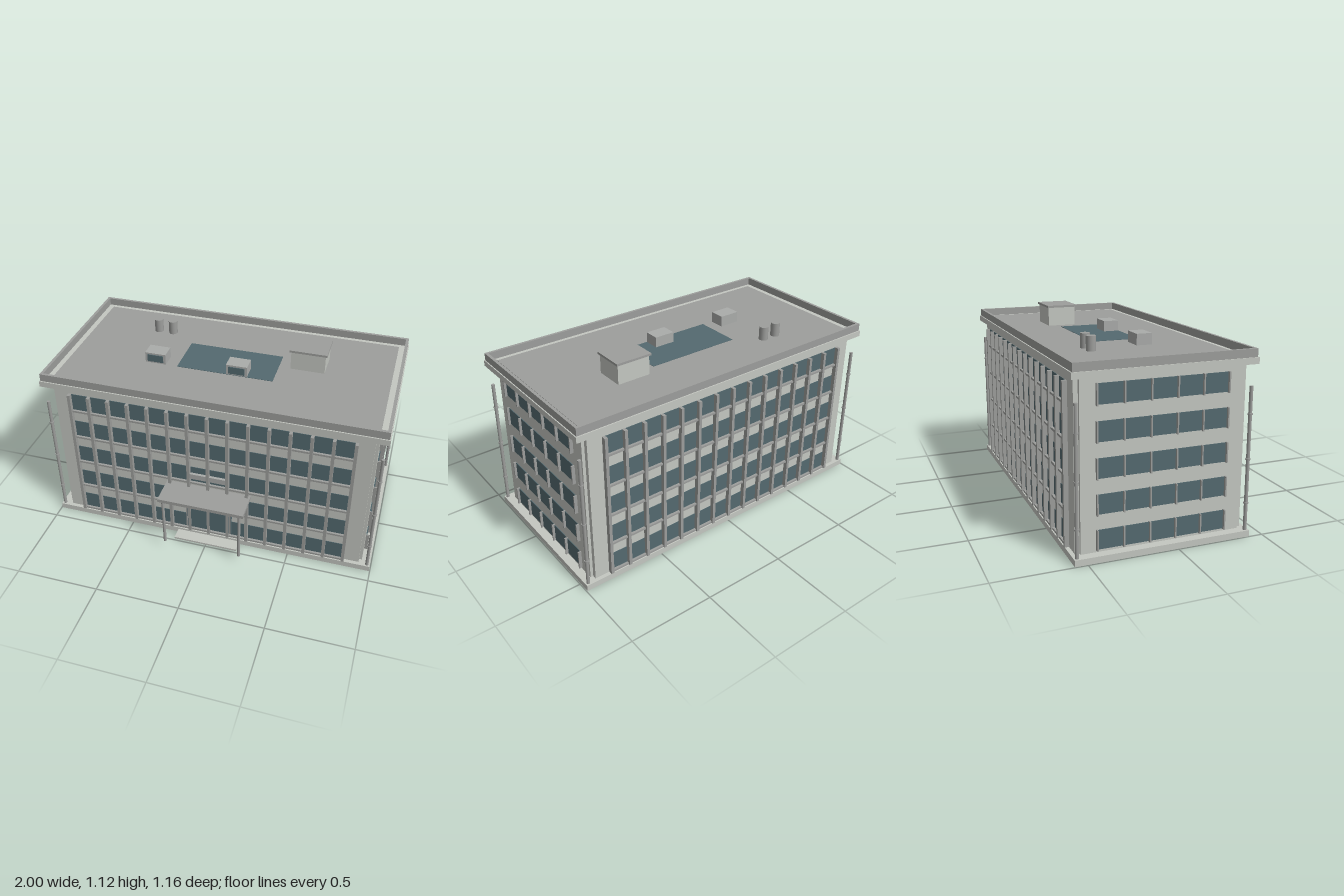
import * as THREE from 'three';

const CZ = -0.073; // z of the building's middle

export function createModel() {
  const root = new THREE.Group();
  root.name = 'officeBlock';

  const mat = (name, color) => {
    const m = new THREE.MeshStandardMaterial({ color });
    m.name = name;
    return m;
  };
  const wall = mat('lightConcrete', 0xc4c7c1);
  const trim = mat('greyTrim', 0x9d9e9c);
  const glass = mat('tealGlass', 0x546a70);
  const metal = mat('unitMetal', 0xaaacaa);

  // Box given by its extents on each axis
  const box = (parent, name, m, x0, x1, y0, y1, z0, z1) => {
    const mesh = new THREE.Mesh(new THREE.BoxGeometry(x1 - x0, y1 - y0, z1 - z0), m);
    mesh.position.set((x0 + x1) / 2, (y0 + y1) / 2, (z0 + z1) / 2);
    mesh.name = name;
    parent.add(mesh);
    return mesh;
  };
  const group = (name, parent = root) => {
    const g = new THREE.Group();
    g.name = name;
    parent.add(g);
    return g;
  };
  const cyl = (parent, name, m, r, y0, y1, x, z, sides = 12) => {
    const mesh = new THREE.Mesh(new THREE.CylinderGeometry(r, r, y1 - y0, sides), m);
    mesh.position.set(x, (y0 + y1) / 2, z);
    mesh.name = name;
    parent.add(mesh);
  };

  // Base, body and cornice; the plan is notched at the corners
  const shell = group('shell');
  shell.position.z = CZ;
  box(shell, 'base', wall, -0.995, 0.995, 0, 0.035, -0.496, 0.496);
  box(shell, 'longWalls', wall, -0.927, 0.927, 0.035, 0.95, -0.473, 0.473);
  box(shell, 'endWalls', wall, -0.944, 0.944, 0.035, 0.95, -0.448, 0.448);
  box(shell, 'cornice', wall, -1, 1, 0.95, 0.985, -0.505, 0.505);
  box(shell, 'roof', trim, -0.943, 0.943, 0.983, 0.988, -0.452, 0.452);

  // Parapet ring
  const rect = (path, x, y) =>
    path.moveTo(-x, -y).lineTo(x, -y).lineTo(x, y).lineTo(-x, y).closePath();
  const ring = rect(new THREE.Shape(), 0.994, 0.498);
  ring.holes.push(rect(new THREE.Path(), 0.977, 0.481));
  const parapet = new THREE.Mesh(
    new THREE.ExtrudeGeometry(ring, { depth: 0.045, bevelEnabled: false }), trim);
  parapet.rotation.x = -Math.PI / 2;
  parapet.position.y = 0.985;
  parapet.name = 'parapet';
  shell.add(parapet);

  // Long facades: five window rows, sills and full-height fins
  const ROWS = 5, PITCH = 0.189, ROW0 = 0.049, ROW_H = 0.106;
  const BAY = 0.1187;
  for (const [name, turn] of [['frontFacade', 0], ['backFacade', Math.PI]]) {
    const f = group(name, shell);
    f.rotation.y = turn;
    for (let r = 0; r < ROWS; r++) {
      const y = ROW0 + r * PITCH;
      box(f, 'windowRow', glass, -0.831, 0.831, y, y + ROW_H, 0.471, 0.476);
      box(f, 'sill', trim, -0.831, 0.831, y - 0.012, y, 0.471, 0.49);
    }
    for (let i = -7; i <= 7; i++) {
      box(f, 'fin', trim, i * BAY - 0.009, i * BAY + 0.009, 0.037, 0.912, 0.471, 0.499);
    }
  }

  // End facades: rows of five panes with short mullions
  for (const s of [1, -1]) {
    const f = group(s > 0 ? 'leftFacade' : 'rightFacade', shell);
    f.rotation.y = s * Math.PI / 2;
    for (let r = 0; r < ROWS; r++) {
      const y = ROW0 + r * PITCH;
      // local x runs along the wall
      box(f, 'windowRow', glass, -0.361, 0.361, y, y + ROW_H, 0.942, 0.948);
      for (let i = 0; i <= 5; i++) {
        const x = -0.361 + i * 0.1444;
        box(f, 'mullion', trim, x - 0.004, x + 0.004, y - 0.003, y + ROW_H + 0.003, 0.942, 0.963);
      }
    }
  }

  // Drainpipes with clips at the four corners
  const pipes = group('drainpipes', shell);
  for (const x of [-0.977, 0.977]) {
    for (const z of [-0.478, 0.478]) {
      cyl(pipes, 'drainpipe', trim, 0.01, 0.035, 0.833, x, z, 10);
      for (const y of [0.19, 0.437, 0.683]) cyl(pipes, 'pipeClip', trim, 0.014, y - 0.004, y + 0.004, x, z, 10);
    }
  }

  // Entrance: glazed doors, canopy on posts, step and panel above
  const entrance = group('entrance');
  box(entrance, 'doorGlass', glass, -0.143, 0.143, 0.068, 0.35, 0.4, 0.419);
  for (const s of [-1, 1]) {
    const c = s * 0.06;
    box(entrance, 'doorLeaf', glass, c - 0.052, c + 0.052, 0.08, 0.335, 0.417, 0.422);
    box(entrance, 'doorJamb', trim, s * 0.137 - 0.004, s * 0.137 + 0.004, 0.068, 0.35, 0.417, 0.422);
    cyl(entrance, 'canopyPost', trim, 0.009, 0.05, 0.375, s * 0.232, 0.564);
  }
  box(entrance, 'canopy', trim, -0.259, 0.259, 0.372, 0.393, 0.4, 0.58);
  box(entrance, 'step', wall, -0.197, 0.197, 0.01, 0.022, 0.42, 0.496);
  box(entrance, 'panel', metal, -0.119, 0.119, 0.455, 0.49, 0.4, 0.42);

  // Rooftop: skylight, stair house, cooling units and vents
  const top = group('rooftop');
  box(top, 'skylight', glass, -0.29, 0.287, 0.986, 0.99, -0.212, 0.066);
  box(top, 'stairHouse', wall, 0.356, 0.558, 0.985, 1.102, -0.271, -0.098);
  box(top, 'stairHouseCap', trim, 0.346, 0.567, 1.102, 1.115, -0.278, -0.089);
  for (const x of [-0.424, 0.072]) {
    box(top, 'coolingUnit', metal, x - 0.063, x + 0.063, 0.985, 1.052, -0.027, 0.064);
    box(top, 'coolingGrille', glass, x - 0.048, x + 0.048, 0.998, 1.042, 0.063, 0.069);
  }
  for (const x of [-0.538, -0.445]) cyl(top, 'vent', trim, 0.027, 0.985, 1.07, x, -0.312, 16);

  return root;
}
